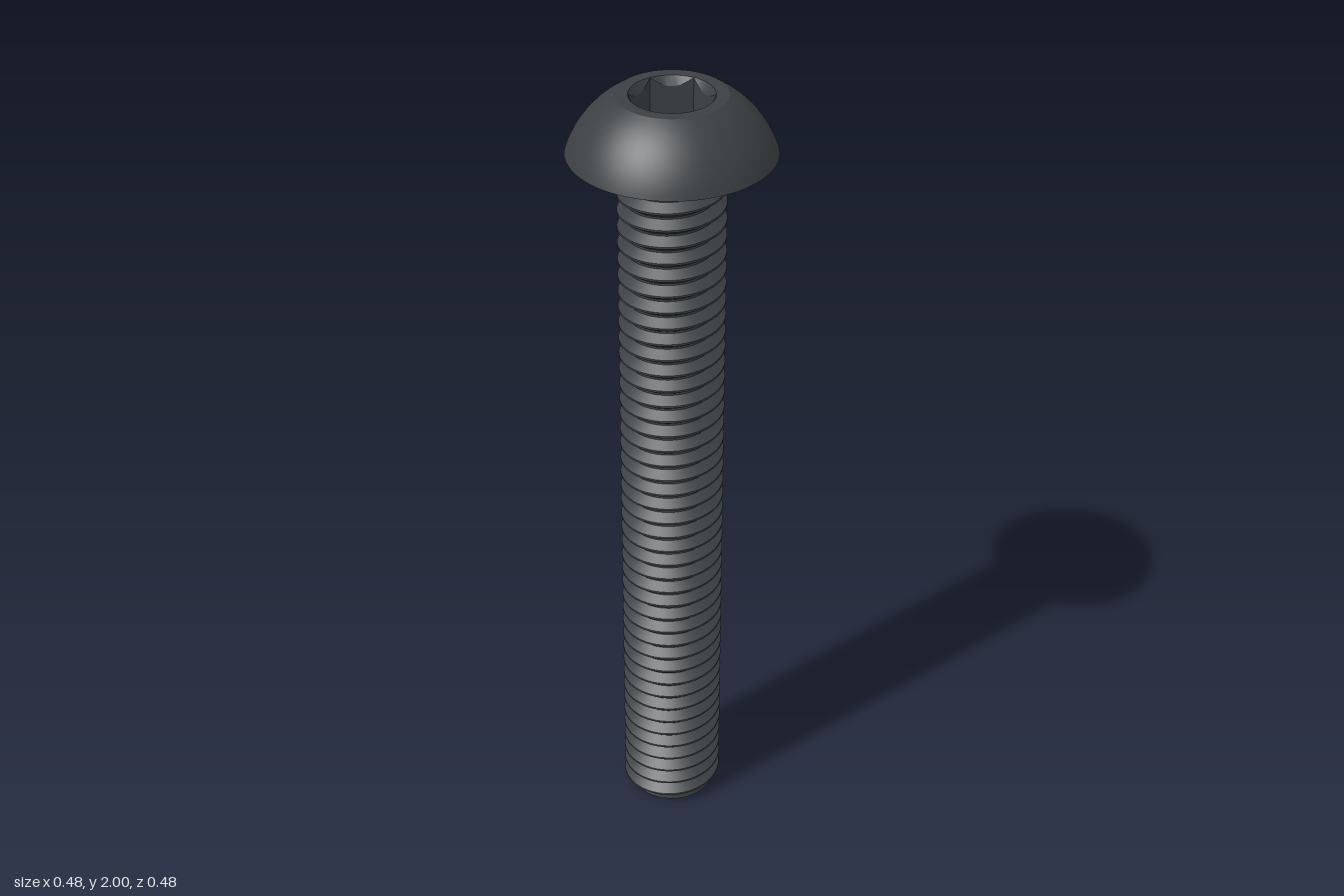
import * as THREE from 'three';
import { toCreasedNormals } from 'three/addons/utils/BufferGeometryUtils.js';

const SEGS = 60;
const HEAD_BASE = 1.862, HEAD_R = 0.241, TOP_R = 0.127;
const PITCH = 0.0423, MAJOR_R = 0.126, MINOR_R = 0.103;
const FLAT_R = 0.0846, SOCKET_R = FLAT_R / Math.cos(Math.PI / 6), FLOOR_Y = 1.912;

// Surface of rings: point(row, angle) returns [radius, y]; it faces outward when rows go up.
function ringSurface(rows, point, crease) {
  const pos = [], index = [];
  for (let i = 0; i < rows; i++) {
    for (let j = 0; j <= SEGS; j++) {
      const a = (j / SEGS) * Math.PI * 2;
      const [r, y] = point(i, a);
      pos.push(r * Math.cos(a), y, -r * Math.sin(a));
    }
  }
  const vertex = (k) => new THREE.Vector3().fromArray(pos, k * 3);
  const addFace = (a, b, c) => {
    if (new THREE.Triangle(vertex(a), vertex(b), vertex(c)).getArea() > 1e-9) index.push(a, b, c);
  };
  for (let i = 0; i < rows - 1; i++) {
    for (let j = 0; j < SEGS; j++) {
      const a = i * (SEGS + 1) + j, c = a + SEGS + 1;
      addFace(a, a + 1, c);
      addFace(a + 1, c + 1, c);
    }
  }
  const geo = new THREE.BufferGeometry();
  geo.setAttribute('position', new THREE.Float32BufferAttribute(pos, 3));
  geo.setIndex(index);
  return toCreasedNormals(geo, crease);
}

// Right-handed V thread with an end chamfer, flat tip and a flared neck under the head.
function threadGeometry() {
  const breaks = [0, 0.12, 0.5, 0.62]; // crest, flank, root, flank
  const turns = Math.ceil(HEAD_BASE / PITCH) + 2;
  const profile = (t) => {
    const f = t - Math.floor(t);
    let depth = 0;
    if (f > 0.62) depth = (1 - f) / 0.38;
    else if (f > 0.5) depth = 1;
    else if (f > 0.12) depth = (f - 0.12) / 0.38;
    return MAJOR_R + (MINOR_R - MAJOR_R) * depth;
  };
  return ringSurface(turns * 4 + 1, (row, a) => {
    if (row === 0) return [0, 0];
    const k = row - 1;
    const lead = a / (Math.PI * 2);
    const turn = Math.floor(k / 4) - 1 + breaks[k % 4] + lead;
    const y = THREE.MathUtils.clamp(turn * PITCH, 0, HEAD_BASE);
    let r = profile(y / PITCH - lead + 1e-7);
    r = Math.min(r, 0.106 + y);
    r = Math.max(r, MAJOR_R - (HEAD_BASE - y));
    return [r, y];
  }, 0.4);
}

// Domed head: flat underside, spherical dome, flat rim around the socket.
function headGeometry() {
  const h = 2 - HEAD_BASE;
  const drop = (HEAD_R ** 2 - TOP_R ** 2 - h * h) / (2 * h);
  const R = Math.hypot(HEAD_R, drop);
  const start = Math.atan2(drop, HEAD_R), end = Math.atan2(drop + h, TOP_R);
  const pts = [new THREE.Vector2(0.09, HEAD_BASE)];
  for (let i = 0; i <= 16; i++) {
    const a = start + (end - start) * (i / 16);
    pts.push(new THREE.Vector2(R * Math.cos(a), HEAD_BASE - drop + R * Math.sin(a)));
  }
  pts.push(new THREE.Vector2(SOCKET_R, 2));
  return toCreasedNormals(new THREE.LatheGeometry(pts, SEGS), 0.4);
}

// Hexagonal recess with a conical lead-in and flat floor.
function socketGeometry() {
  const sector = Math.PI / 3;
  return ringSurface(4, (row, a) => {
    const r = FLAT_R / Math.cos((a % sector) - sector / 2);
    if (row === 0) return [SOCKET_R, 2];
    if (row === 1) return [r, 2 - (SOCKET_R - r) * 1.6];
    return [row === 2 ? r : 0, FLOOR_Y];
  }, 0.4);
}

export function createModel() {
  const group = new THREE.Group();
  group.name = 'buttonHeadScrew';
  const steel = new THREE.MeshStandardMaterial({ color: 0x3c4043 });
  const parts = {
    threadedShank: threadGeometry(),
    domedHead: headGeometry(),
    hexSocket: socketGeometry(),
  };
  for (const [name, geo] of Object.entries(parts)) {
    const mesh = new THREE.Mesh(geo, steel);
    mesh.name = name;
    group.add(mesh);
  }
  return group;
}
